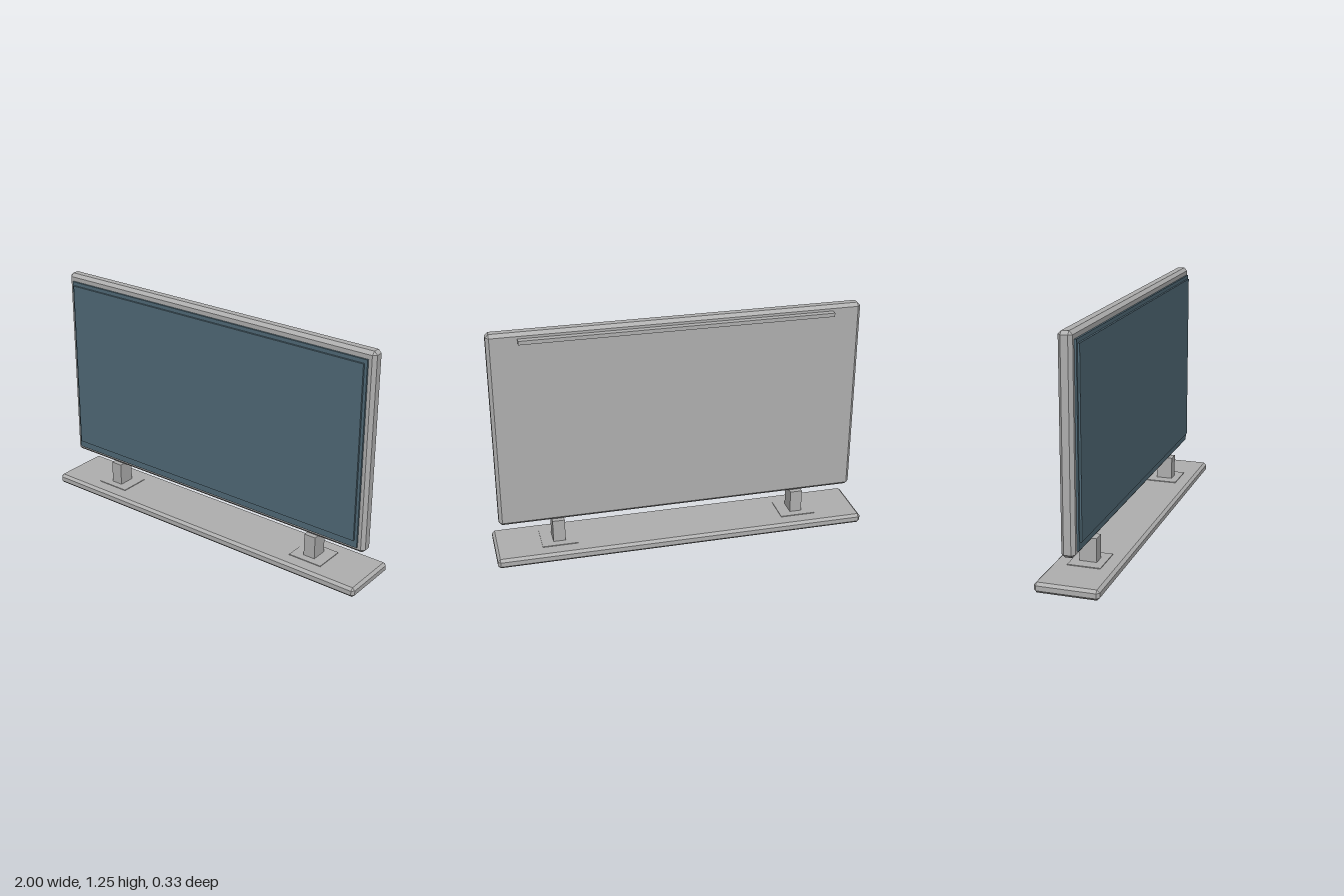
import * as THREE from 'three';
import { ConvexGeometry } from 'three/addons/geometries/ConvexGeometry.js';

const grey = new THREE.MeshStandardMaterial({ color: 0xb0b0b0 });
grey.name = 'casing grey';
const glass = new THREE.MeshStandardMaterial({ color: 0x516a77 });
glass.name = 'screen blue';

// Box with every edge and corner cut flat by c
function chamferedBox(w, h, d, c) {
  const half = [w / 2, h / 2, d / 2];
  const points = [];
  for (const sx of [-1, 1]) for (const sy of [-1, 1]) for (const sz of [-1, 1]) {
    const s = [sx, sy, sz];
    for (let face = 0; face < 3; face++) {
      points.push(new THREE.Vector3(...half.map((v, i) => s[i] * (i === face ? v : v - c))));
    }
  }
  return new ConvexGeometry(points);
}

export function createModel() {
  const model = new THREE.Group();
  model.name = 'television';

  function add(name, geometry, material, x, y, z) {
    const mesh = new THREE.Mesh(geometry, material);
    mesh.name = name;
    mesh.position.set(x, y, z);
    model.add(mesh);
  }
  const box = (w, h, d) => new THREE.BoxGeometry(w, h, d);

  // Long foot and the cabinet, both with bevelled edges
  add('base', chamferedBox(2, 0.053, 0.326, 0.014), grey, 0, 0.0265, 0);
  add('cabinet', chamferedBox(1.94, 1.07, 0.07, 0.017), grey, 0, 0.715, 0);

  // Screen in two stepped layers
  add('screenSurround', box(1.87, 1, 0.01), glass, 0, 0.71, 0.04);
  add('screen', box(1.84, 0.94, 0.01), glass, 0, 0.72, 0.05);

  // Rail along the top of the back
  add('backRail', box(1.63, 0.02, 0.034), grey, 0, 1.21, -0.051);

  // Pair of posts on thin mounting plates
  for (const side of [-1, 1]) {
    const label = side > 0 ? 'left' : 'right';
    add(label + 'Post', box(0.065, 0.13, 0.09), grey, side * 0.66, 0.115, 0);
    add(label + 'MountingPlate', box(0.19, 0.006, 0.17), grey, side * 0.66, 0.054, 0);
  }
  return model;
}
